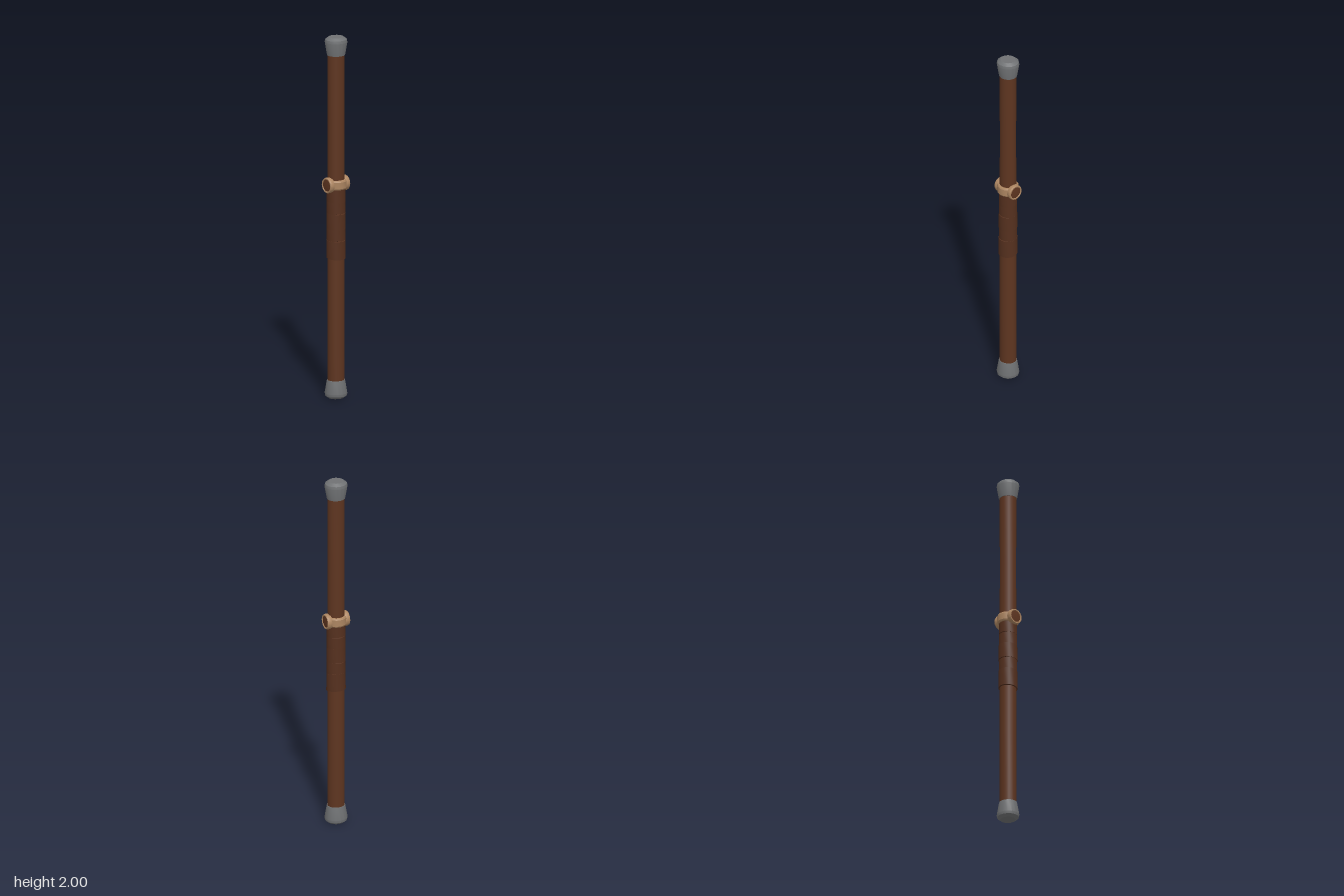
import * as THREE from 'three';
import { toCreasedNormals } from 'three/addons/utils/BufferGeometryUtils.js';

const flat = (name, color) => {
  const m = new THREE.MeshStandardMaterial({ color });
  m.name = name;
  return m;
};

export function createModel() {
  const group = new THREE.Group();
  const wood = flat('brown wood', 0x5e3520);
  const leather = flat('dark brown leather', 0x55301e);
  const metal = flat('grey metal', 0x707274);
  const tan = flat('tan binding', 0xac8561);

  const add = (name, geometry, material, parent = group) => {
    const mesh = new THREE.Mesh(geometry, material);
    mesh.name = name;
    parent.add(mesh);
    return mesh;
  };
  // Turned part from [radius, height] pairs, bottom to top
  const turned = (points, sides) => toCreasedNormals(
    new THREE.LatheGeometry(points.map(([r, y]) => new THREE.Vector2(r, y)), sides), 0.5);

  // Shaft, slightly deeper than wide
  const shaft = add('shaft', turned([[0.044, 0.06], [0.0435, 0.5], [0.044, 1], [0.043, 1.5], [0.044, 1.94]], 20), wood);
  shaft.scale.z = 1.07;

  // End caps, flared with a bevelled end
  const capProfile = [[0, -0.1], [0.048, -0.1], [0.06, -0.028], [0.057, -0.013], [0.04, 0], [0, 0]];
  const topCap = add('topCap', turned(capProfile, 16), metal);
  topCap.position.y = 2;
  topCap.scale.z = 1.05;
  const bottomCap = add('bottomCap', topCap.geometry, metal);
  bottomCap.rotation.x = Math.PI;
  bottomCap.scale.z = 1.05;

  // Leather grip made of overlapping, slightly tilted wraps
  const grip = new THREE.Group();
  grip.name = 'grip';
  group.add(grip);
  [[0.775, 0.88, 0.05], [0.87, 0.95, 0.0485], [0.94, 1.03, 0.0495], [1.02, 1.1, 0.0485], [1.09, 1.17, 0.0485]]
    .forEach(([y0, y1, r], i) => {
      const geometry = turned([[0.042, y0], [r, y0 + 0.002], [r - 0.001, y1 - 0.003], [0.042, y1]], 20);
      const p = geometry.attributes.position;
      const tilt = i % 2 ? 0.08 : -0.12;
      for (let k = 0; k < p.count; k++) p.setY(k, p.getY(k) + p.getX(k) * tilt);
      const wrap = add('gripWrap', geometry, leather, grip);
      wrap.scale.z = 1.07;
    });

  // Band around the shaft
  add('band', turned([[0.045, 1.158], [0.054, 1.16], [0.058, 1.167], [0.058, 1.203], [0.054, 1.21], [0.045, 1.212]], 16), tan);

  // Round studs on front and back, with a dark inlay inside a raised rim
  const rim = turned([[0.036, 0.036], [0.041, 0.038], [0.043, 0.045], [0.043, 0.06], [0.04, 0.066],
    [0.034, 0.066], [0.032, 0.062]], 16);
  const inlay = turned([[0.034, 0.06], [0.033, 0.063], [0.02, 0.0645], [0, 0.065]], 16);
  const back = new THREE.CylinderGeometry(0.037, 0.037, 0.02, 16);
  for (const side of [1, -1]) {
    const stud = new THREE.Group();
    stud.name = side > 0 ? 'frontStud' : 'backStud';
    stud.position.y = 1.184;
    stud.rotation.x = side * Math.PI / 2;
    group.add(stud);
    add('studRim', rim, tan, stud);
    add('studInlay', inlay, wood, stud);
    add('studBase', back, tan, stud).position.y = 0.047;
  }
  return group;
}
